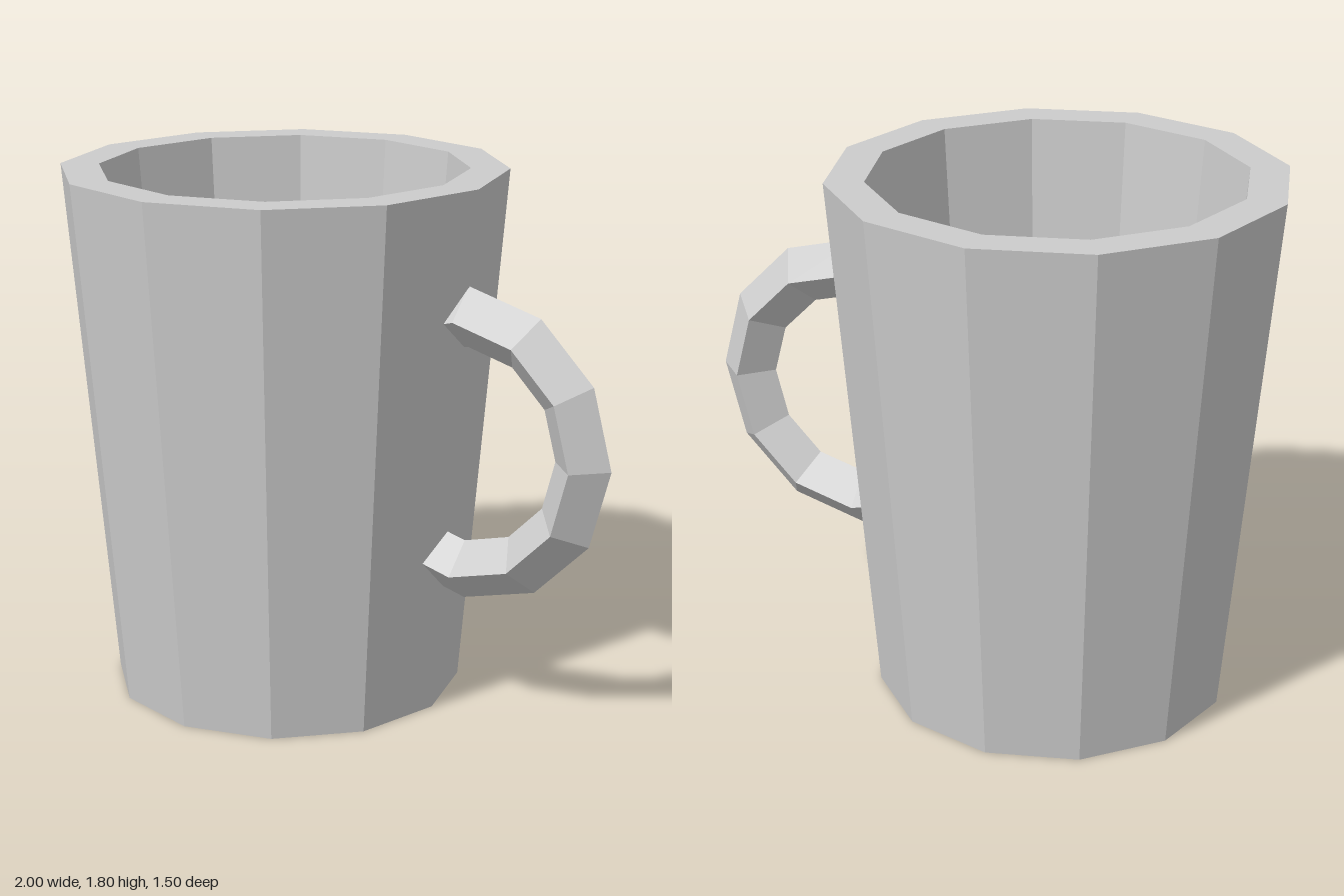
import * as THREE from 'three';

export function createModel() {
  const group = new THREE.Group();
  const grey = new THREE.MeshStandardMaterial({ color: 0xcccccc, flatShading: true });
  grey.name = 'plain grey';

  // Twelve-sided tapered cup: base, outer wall, rim, inner wall, floor
  const profile = [
    [0, 0], [0.6, 0], [0.75, 1.8], [0.62, 1.8], [0.49, 0.2], [0, 0.2],
  ].map(([r, y]) => new THREE.Vector2(r, y));
  const cup = new THREE.Mesh(new THREE.LatheGeometry(profile, 12), grey);
  cup.name = 'cup';
  cup.position.x = -0.25;
  group.add(cup);

  // Full ring with a diamond section, running through the cup wall
  const handle = new THREE.Mesh(new THREE.TorusGeometry(0.43, 0.1, 4, 12), grey);
  handle.name = 'handle';
  handle.position.set(0.47, 0.955, 0);
  group.add(handle);

  return group;
}
